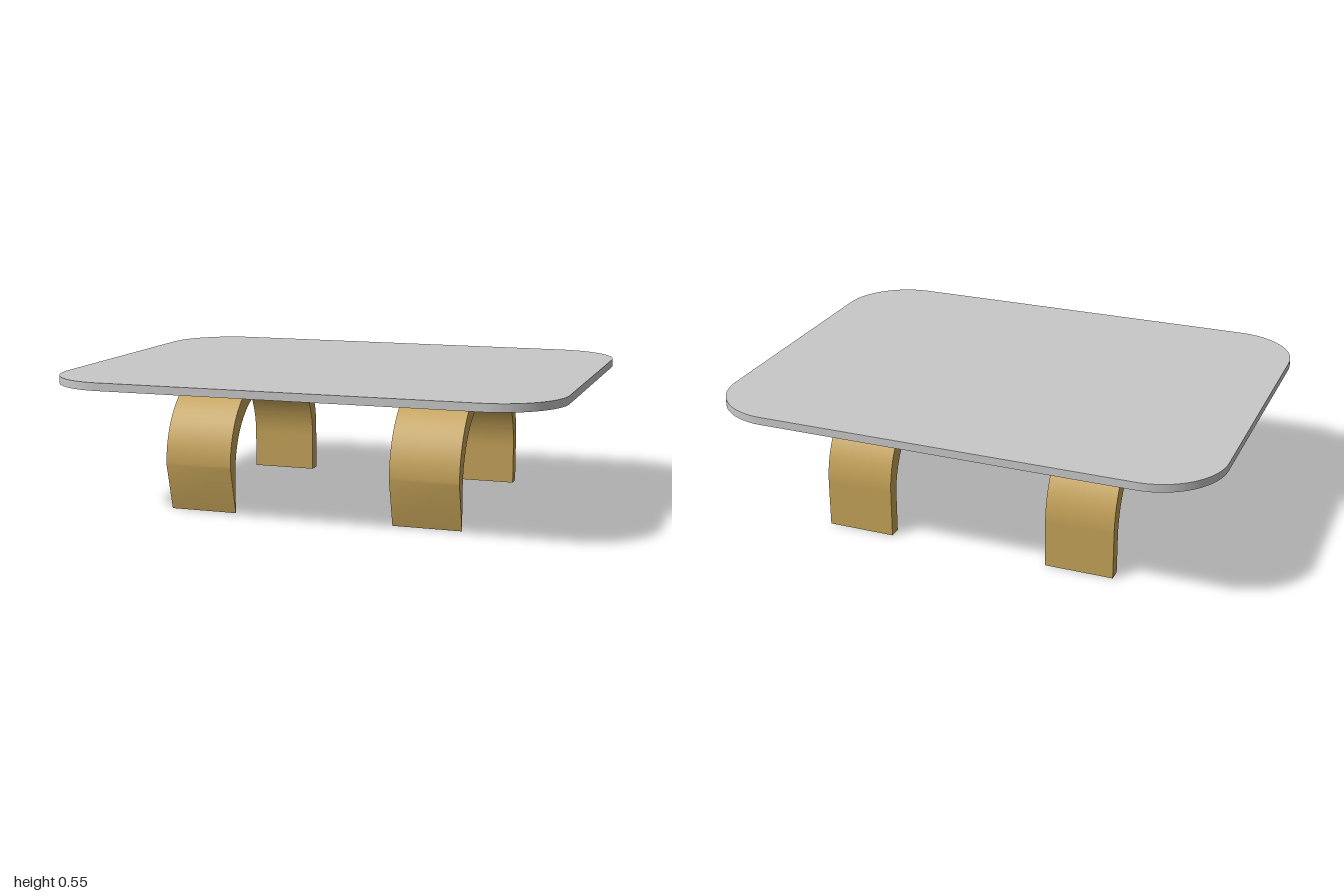
import * as THREE from 'three';
import { toCreasedNormals } from 'three/addons/utils/BufferGeometryUtils.js';

const grey = new THREE.MeshStandardMaterial({ name: 'pale grey', color: 0xc8c8c8 });
const gold = new THREE.MeshStandardMaterial({ name: 'brass', color: 0xc4a258 });

// Extrude a flat outline, smooth on its curves and sharp at its edges
function extrude(shape, depth) {
  const geometry = new THREE.ExtrudeGeometry(shape, { depth, bevelEnabled: false, curveSegments: 24 });
  return toCreasedNormals(geometry, 0.5);
}

// Rectangle with four round corners
function roundedRect(halfW, halfH, r) {
  const s = new THREE.Shape();
  const x = halfW - r, y = halfH - r;
  s.absarc(x, y, r, 0, Math.PI / 2);
  s.absarc(-x, y, r, Math.PI / 2, Math.PI);
  s.absarc(-x, -y, r, Math.PI, Math.PI * 1.5);
  s.absarc(x, -y, r, Math.PI * 1.5, Math.PI * 2);
  s.closePath();
  return s;
}

// Side profile of a bent leg: outer arch over, inner arch back
function archProfile() {
  const front = 0.473, back = -0.518, top = 0.508, R = 0.322;
  const inFront = 0.424, inBack = -0.469, inTop = 0.451, r = 0.297;
  const s = new THREE.Shape();
  s.moveTo(front, 0);
  s.absarc(front - R, top - R, R, 0, Math.PI / 2, false);
  s.absarc(back + R, top - R, R, Math.PI / 2, Math.PI, false);
  s.lineTo(back, 0);
  s.lineTo(inBack, 0);
  s.absarc(inBack + r, inTop - r, r, Math.PI, Math.PI / 2, true);
  s.absarc(inFront - r, inTop - r, r, Math.PI / 2, 0, true);
  s.lineTo(inFront, 0);
  s.closePath();
  return s;
}

export function createModel() {
  const table = new THREE.Group();
  table.name = 'table';

  // Thin top, floating just above the legs
  const top = new THREE.Mesh(extrude(roundedRect(1, 0.763, 0.265), 0.031), grey);
  top.name = 'tableTop';
  top.rotation.x = -Math.PI / 2;
  top.position.y = 0.516;
  table.add(top);

  // Two bent strip legs
  const width = 0.272;
  const legGeometry = extrude(archProfile(), width);
  for (const [name, x] of [['rightLeg', -0.455], ['leftLeg', 0.46]]) {
    const leg = new THREE.Mesh(legGeometry, gold);
    leg.name = name;
    leg.rotation.y = -Math.PI / 2;
    leg.position.x = x + width / 2;
    table.add(leg);
  }
  return table;
}
